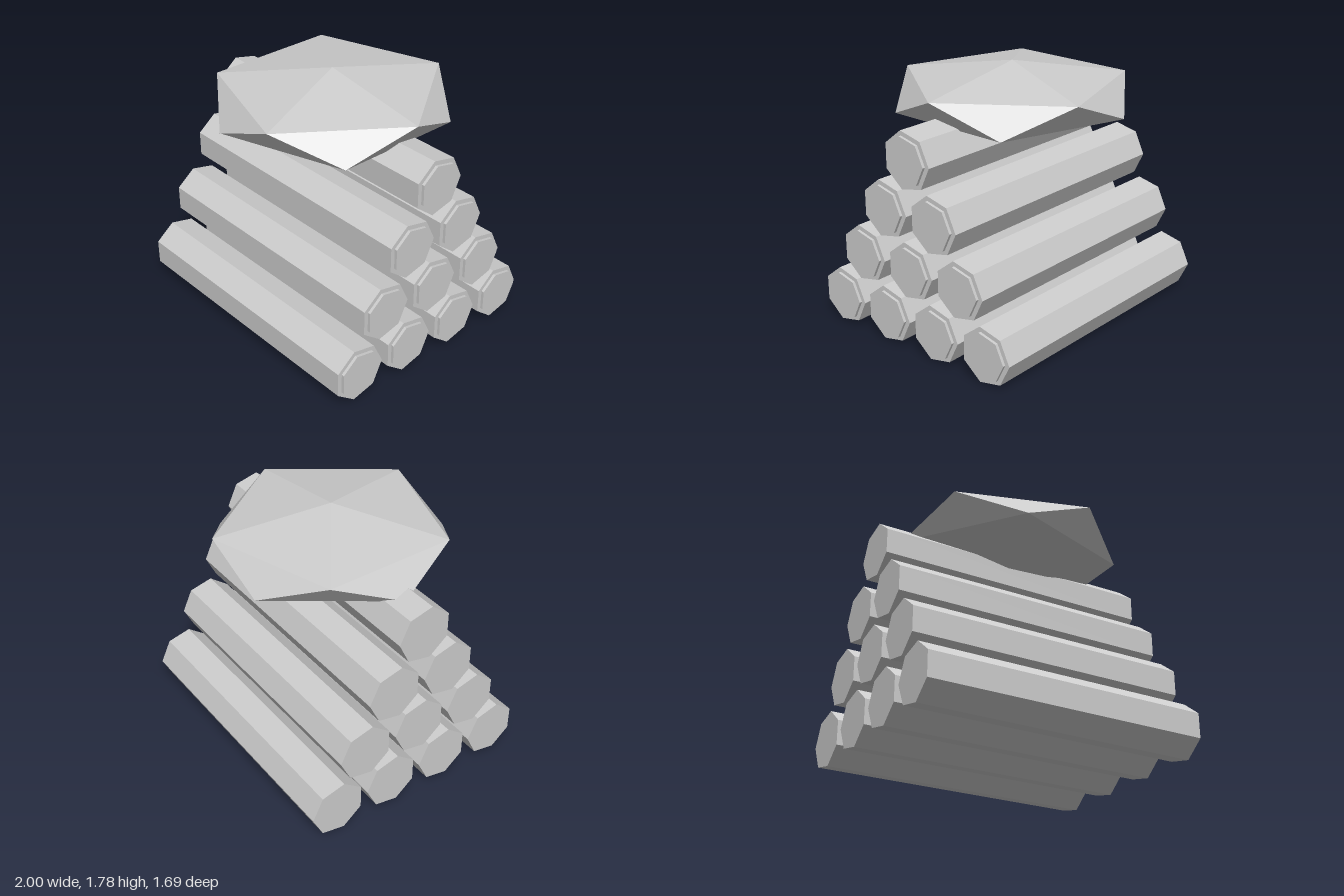
import * as THREE from 'three';
import { ConvexGeometry } from 'three/addons/geometries/ConvexGeometry.js';

const SIDES = 7;

// Seven-sided prism lying along x, with one corner pointing to -z
function prism(radius, x0, x1) {
  return new THREE.CylinderGeometry(radius, radius, x1 - x0, SIDES)
    .rotateY(Math.PI)
    .rotateZ(-Math.PI / 2)
    .translate((x0 + x1) / 2, 0, 0);
}

// Squashed icosahedron standing on its point
function rockGeometry(radius, height) {
  const points = [new THREE.Vector3(0, height, 0), new THREE.Vector3(0, -height, 0)];
  const ringY = height / Math.sqrt(5);
  for (let i = 0; i < 10; i++) {
    const a = (i * Math.PI) / 5;
    points.push(new THREE.Vector3(
      radius * Math.cos(a), i % 2 ? -ringY : ringY, radius * Math.sin(a)));
  }
  return new ConvexGeometry(points);
}

export function createModel() {
  const model = new THREE.Group();
  model.name = 'logPile';
  const grey = new THREE.MeshStandardMaterial({ color: 0xcccccc, flatShading: true });
  grey.name = 'lightGrey';

  // Pyramid of logs, four at the bottom and one on top
  const barkGeometry = prism(0.2, -1, 0.98);
  const endGeometry = prism(0.167, 0.975, 1);
  for (let row = 0; row < 4; row++) {
    const count = 4 - row;
    for (let i = 0; i < count; i++) {
      const log = new THREE.Group();
      log.name = `log${row + 1}_${i + 1}`;
      const bark = new THREE.Mesh(barkGeometry, grey);
      bark.name = 'bark';
      const end = new THREE.Mesh(endGeometry, grey);
      end.name = 'cutEnd';
      log.add(bark, end);
      log.position.set(0, 0.195 + row * 0.377, 0.013 + ((count - 1) / 2 - i) * 0.435);
      model.add(log);
    }
  }

  // Flat faceted slab resting on the top log
  const slab = new THREE.Mesh(rockGeometry(0.793, 0.218), grey);
  slab.name = 'topSlab';
  slab.position.set(-0.013, 1.563, 0.007);
  model.add(slab);

  return model;
}
